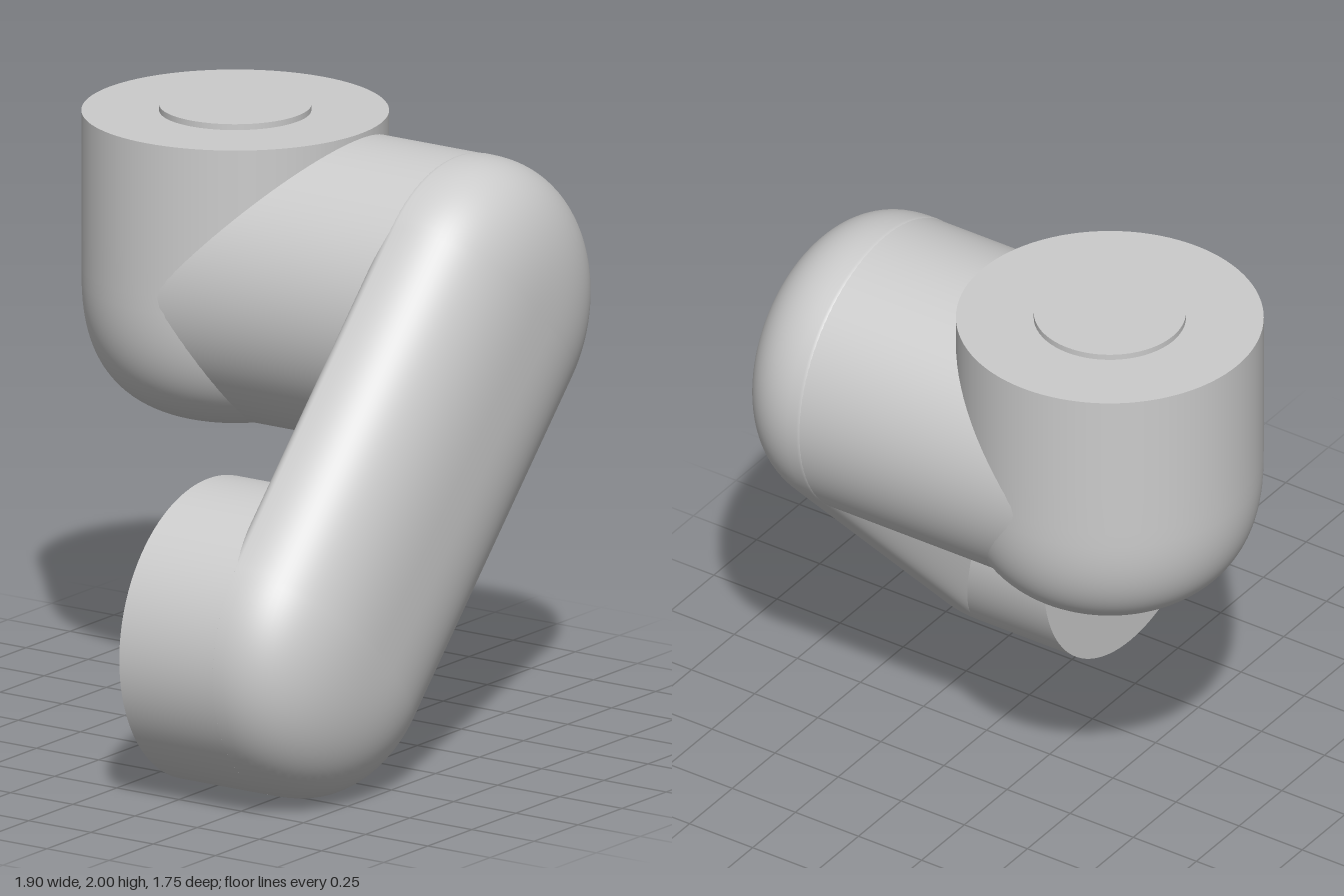
import * as THREE from 'three';
import { mergeVertices } from 'three/addons/utils/BufferGeometryUtils.js';

const R = 0.505;                                   // common tube radius
const UPPER = new THREE.Vector2(0.445, 1.46);      // upper joint axis (x, y)
const LOWER = new THREE.Vector2(-0.45, R);         // lower joint axis (x, y)
const SHOULDER_Z = -0.37;
const RIM_Z = 0.53;                                // widest depth of the link

const material = new THREE.MeshStandardMaterial({ color: 0xcccccc });

function part(name, geometry, x = 0, y = 0, z = 0) {
  const mesh = new THREE.Mesh(geometry, material);
  mesh.name = name;
  mesh.position.set(x, y, z);
  return mesh;
}

// Cylinder running along z between two depths
function tubeZ(name, axis, radius, z0, z1, open = false) {
  const g = new THREE.CylinderGeometry(radius, radius, z1 - z0, 96, 1, open).rotateX(Math.PI / 2);
  return part(name, g, axis.x, axis.y, (z0 + z1) / 2);
}

// Point on a superellipse quarter: a = 0 at the rim, PI/2 at the pole
function superPoint(a, n) {
  return [Math.max(0, Math.cos(a)) ** (2 / n), Math.max(0, Math.sin(a)) ** (2 / n)];
}

// Pill-shaped link: stadium outlines shrinking towards a domed front and back
function linkGeometry() {
  const half = 48, rows = 48, cols = 2 * (half + 1);
  const tilt = Math.atan2(UPPER.y - LOWER.y, UPPER.x - LOWER.x);
  const pos = [], index = [];
  for (let j = 0; j <= rows; j++) {
    const s = -Math.PI / 2 + (Math.PI * j) / rows;
    const front = s >= 0;
    const [c, d] = superPoint(Math.abs(s), front ? 2.5 : 2);
    const z = RIM_Z + (front ? 0.34 : -0.13) * d;
    for (let i = 0; i < cols; i++) {
      const end = i <= half ? 0 : 1;
      const a = tilt - Math.PI / 2 + (Math.PI * (i - end)) / half;
      const centre = end ? LOWER : UPPER;
      pos.push(centre.x + R * c * Math.cos(a), centre.y + R * c * Math.sin(a), z);
      if (j < rows) {
        const a0 = j * cols + i, b0 = j * cols + ((i + 1) % cols);
        index.push(a0, b0, a0 + cols, b0, b0 + cols, a0 + cols);
      }
    }
  }
  const g = new THREE.BufferGeometry();
  g.setAttribute('position', new THREE.Float32BufferAttribute(pos, 3));
  g.setIndex(index);
  const merged = mergeVertices(g, 1e-5);
  merged.computeVertexNormals();
  return merged;
}

// Upright shoulder housing with a blunt domed bottom
function shoulderGeometry() {
  const profile = [];
  for (let k = 0; k <= 32; k++) {
    const [r, d] = superPoint((Math.PI / 2) * (1 - k / 32), 2.7);
    profile.push(new THREE.Vector2(R * r, UPPER.y - 0.505 * d));
  }
  profile.push(new THREE.Vector2(R, 1.6), new THREE.Vector2(R, 1.98));
  return new THREE.LatheGeometry(profile, 96);
}

export function createModel() {
  const model = new THREE.Group();
  model.name = 'armLink';

  // Shoulder housing, its flat top and raised disc
  model.add(part('shoulderHousing', shoulderGeometry(), UPPER.x, 0, SHOULDER_Z));
  model.add(part('shoulderFlange', new THREE.CircleGeometry(R, 96).rotateX(-Math.PI / 2),
    UPPER.x, 1.98, SHOULDER_Z));
  model.add(part('shoulderDisc', new THREE.CylinderGeometry(0.25, 0.25, 0.03, 64),
    UPPER.x, 1.985, SHOULDER_Z));

  // Horizontal tube from the shoulder to the link
  model.add(tubeZ('upperTube', UPPER, R - 0.002, SHOULDER_Z, RIM_Z, true));

  // Slanted link
  model.add(part('link', linkGeometry()));

  // Lower joint and its raised disc on the back
  model.add(tubeZ('lowerJoint', LOWER, R, 0.155, RIM_Z));
  model.add(tubeZ('lowerDisc', LOWER, 0.22, 0.135, 0.17));

  return model;
}
